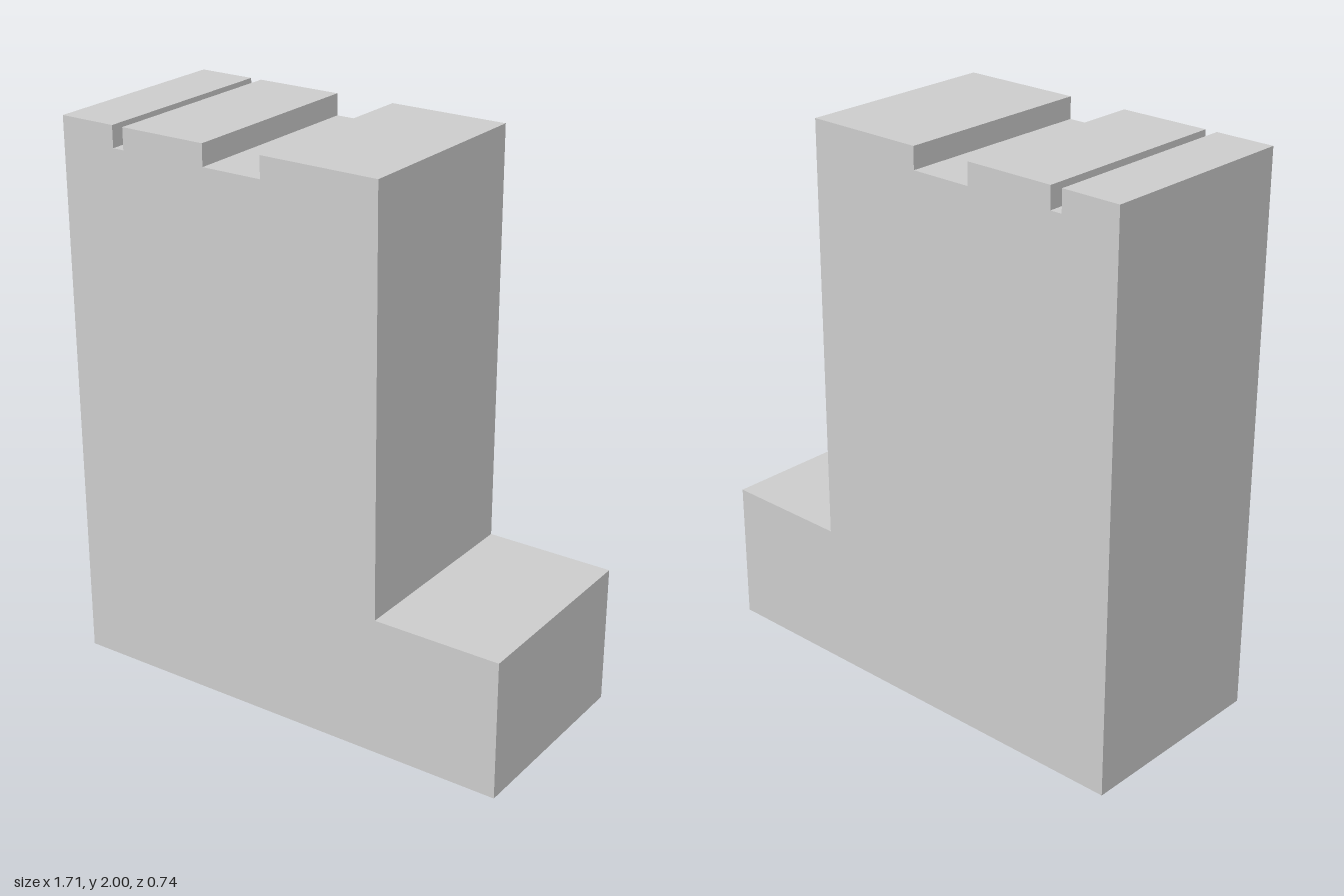
import * as THREE from 'three';

const DEPTH = 0.74;
const TOP = 2, SLOT_FLOOR = 1.923, STEP = 0.507;
const LEFT = -0.855, WALL = 0.387, RIGHT = 0.855;
// Grooves across the top, as [start, end] in x, from +x to -x
const GROOVES = [[-0.05, -0.275], [-0.6, -0.643]];

export function createModel() {
  const group = new THREE.Group();
  group.name = 'steppedBlock';

  // L-shaped side profile, counter-clockwise, with the grooves cut into the top edge
  const points = [[LEFT, 0], [RIGHT, 0], [RIGHT, STEP], [WALL, STEP], [WALL, TOP]];
  for (const [a, b] of GROOVES) {
    points.push([a, TOP], [a, SLOT_FLOOR], [b, SLOT_FLOOR], [b, TOP]);
  }
  points.push([LEFT, TOP]);
  const profile = new THREE.Shape(points.map(([x, y]) => new THREE.Vector2(x, y)));

  // Solid body, centred in depth
  const geometry = new THREE.ExtrudeGeometry(profile, { depth: DEPTH, bevelEnabled: false });
  geometry.translate(0, 0, -DEPTH / 2);
  const body = new THREE.Mesh(
    geometry,
    new THREE.MeshStandardMaterial({ color: 0xcccccc, flatShading: true })
  );
  body.name = 'groovedBody';
  group.add(body);
  return group;
}
